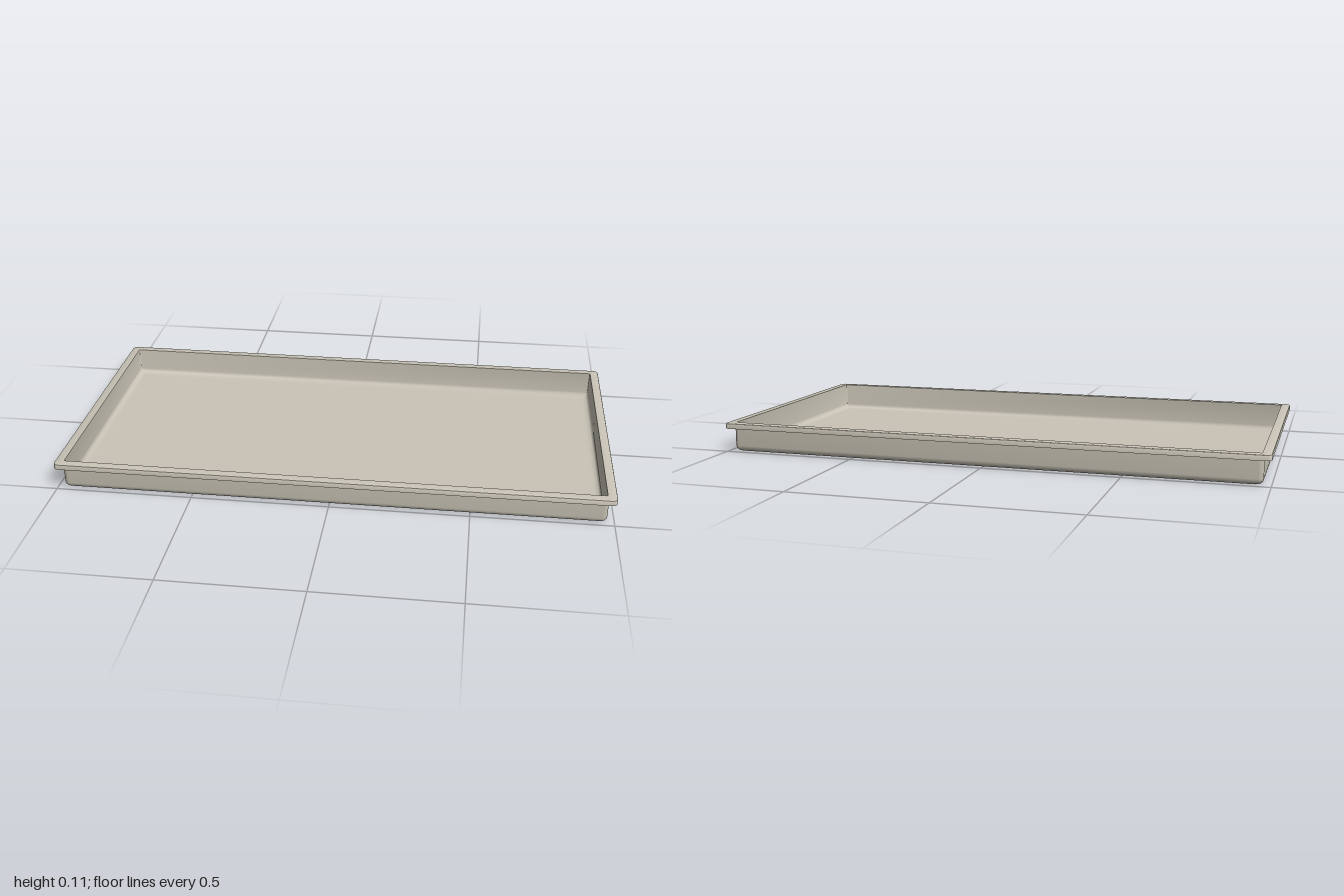
import * as THREE from 'three';
import { toCreasedNormals } from 'three/addons/utils/BufferGeometryUtils.js';

const HX = 1, HZ = 0.515; // half size at the outer rim

// Rounded rectangle loop, inset from the outer rim, at height y
function loop(inset, y, r) {
  const points = [], hx = HX - inset, hz = HZ - inset, steps = 6;
  const corners = [[1, 1], [-1, 1], [-1, -1], [1, -1]];
  corners.forEach(([sx, sz], c) => {
    for (let i = 0; i <= steps; i++) {
      const a = (c + i / steps) * Math.PI / 2;
      points.push([sx * (hx - r) + r * Math.cos(a), y, sz * (hz - r) + r * Math.sin(a)]);
    }
  });
  return points;
}

// Skin a list of [inset, y, cornerRadius] sections, optionally closing an end
function skin(sections, capStart, capEnd) {
  const loops = sections.map(s => loop(...s)), pos = [];
  const tri = (...p) => p.forEach(v => pos.push(...v));
  const n = loops[0].length;
  for (let j = 0; j < n; j++) {
    const k = (j + 1) % n;
    for (let i = 0; i < loops.length - 1; i++) {
      const a = loops[i], b = loops[i + 1];
      tri(a[j], b[j], a[k]);
      tri(b[j], b[k], a[k]);
    }
    const first = loops[0], last = loops[loops.length - 1];
    if (capStart) tri([0, first[0][1], 0], first[j], first[k]);
    if (capEnd) tri([0, last[0][1], 0], last[k], last[j]);
  }
  const g = new THREE.BufferGeometry();
  g.setAttribute('position', new THREE.Float32BufferAttribute(pos, 3));
  return toCreasedNormals(g, 0.6);
}

// Quarter-round bend between floor and wall, listed from floor to wall
function bend(wallInset, floorY, radius, corner) {
  const out = [];
  for (let i = 0; i <= 5; i++) {
    const a = i / 5 * Math.PI / 2;
    const inset = wallInset + radius * (1 - Math.sin(a));
    out.push([inset, floorY + radius * (1 - Math.cos(a)), corner]);
  }
  return out;
}

export function createModel() {
  const group = new THREE.Group();
  group.name = 'tray';
  const stone = new THREE.MeshStandardMaterial({ color: 0xc9c4b6 });
  stone.name = 'warm grey';
  const add = (name, geometry) => {
    const mesh = new THREE.Mesh(geometry, stone);
    mesh.name = name;
    group.add(mesh);
  };

  // Outside of the basin: flat underside, rounded bottom edge, upright wall
  add('basinOutside', skin([
    [0.06, 0, 0.015],
    ...bend(0.026, 0, 0.022, 0.016),
    [0.026, 0.104, 0.016],
  ], true, false));

  // Folded rim: hollow underneath, short outer lip, softened top edge
  add('rim', skin([
    [0.026, 0.104, 0.016],
    [0.006, 0.104, 0.014],
    [0.006, 0.09, 0.014],
    [0, 0.09, 0.02],
    [0, 0.105, 0.02],
    [0.0015, 0.1085, 0.0185],
    [0.005, 0.11, 0.016],
    [0.033, 0.11, 0.006],
  ], false, false));

  // Inside of the basin: upright wall, rounded foot, flat floor
  add('basinInside', skin([
    [0.033, 0.11, 0.006],
    ...bend(0.034, 0.006, 0.018, 0.006).reverse(),
    [0.066, 0.006, 0.006],
  ], false, true));

  return group;
}
